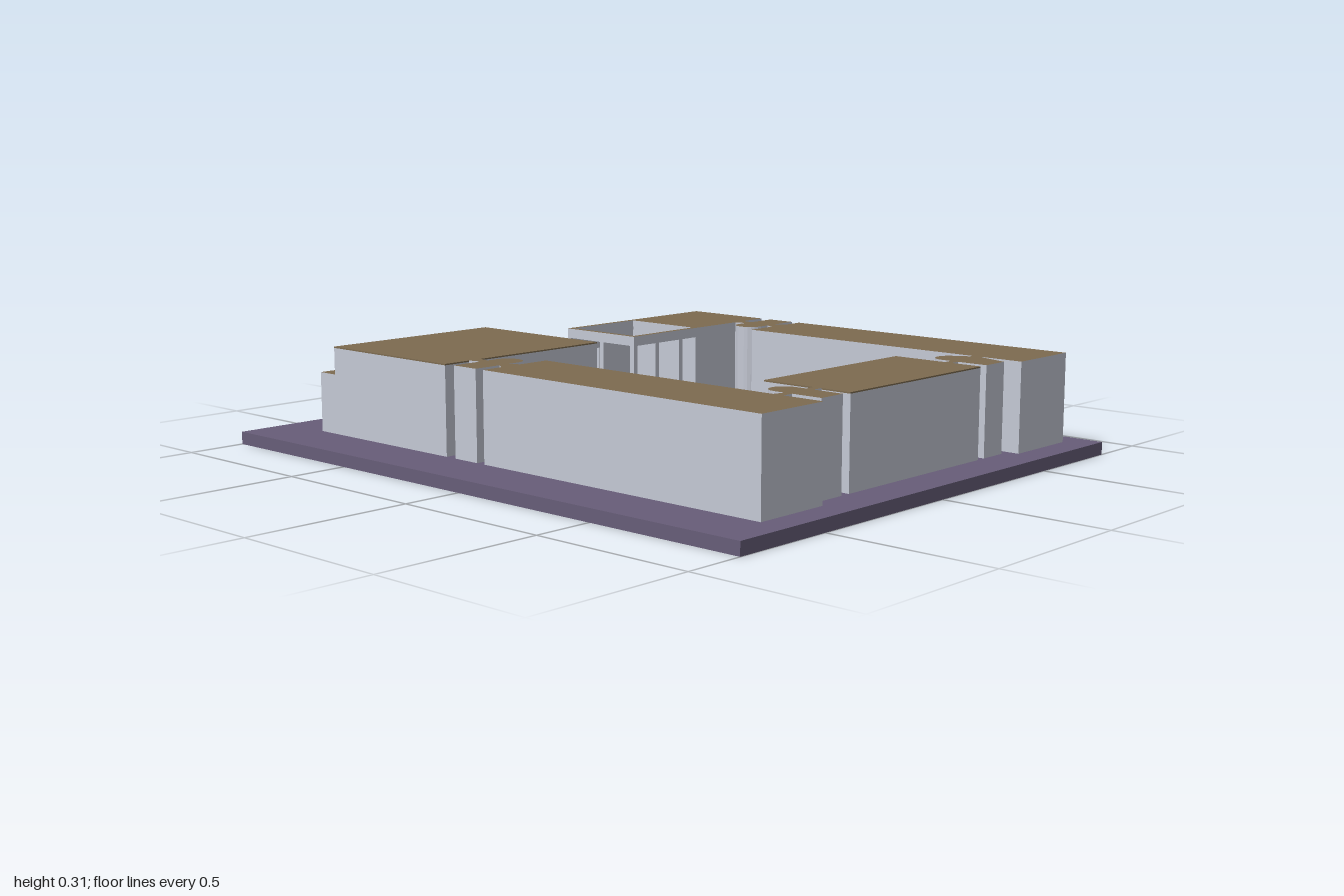
import * as THREE from 'three';

const mat = (name, color) => Object.assign(new THREE.MeshStandardMaterial({ color }), { name });
const GROUND = 0.038, TOP = 0.305, T = 0.014;

export function createModel() {
  const model = new THREE.Group();
  const wallMat = mat('paleWall', 0xc4c8d4);
  const roofMat = mat('brownRoof', 0x7d6b50);
  const baseMat = mat('purpleGround', 0x675d78);
  const greenMat = mat('greenPlants', 0x65804a);

  const add = (name, geometry, material, parent = model) => {
    const m = new THREE.Mesh(geometry, material);
    m.name = name;
    parent.add(m);
    return m;
  };
  const toShape = pts => new THREE.Shape(pts.map(p => new THREE.Vector2(p[0], p[1])));
  const rect = (x0, z0, x1, z1) => [[x0, z0], [x1, z0], [x1, z1], [x0, z1]];

  // upright prism over an (x, z) outline, with separate cap and side colours
  const prism = (name, pts, y0, y1, cap = roofMat, side = wallMat, hole = null, parent = model) => {
    const shape = toShape(pts);
    if (hole) shape.holes.push(new THREE.Path(hole.map(p => new THREE.Vector2(p[0], p[1]))));
    const g = new THREE.ExtrudeGeometry(shape, { depth: y1 - y0, bevelEnabled: false });
    g.rotateX(Math.PI / 2).translate(0, y1, 0);
    return add(name, g, [cap, side], parent);
  };

  // straight wall from a to b with rectangular openings [u0, u1, y0, y1]
  const wall = (name, a, b, openings, parent) => {
    const dx = b[0] - a[0], dz = b[1] - a[1];
    const shape = toShape(rect(0, 0.03, Math.hypot(dx, dz), TOP - 0.004));
    for (const [u0, u1, y0, y1] of openings) {
      shape.holes.push(new THREE.Path(rect(u0, y0, u1, y1).map(p => new THREE.Vector2(...p))));
    }
    const g = new THREE.ExtrudeGeometry(shape, { depth: T, bevelEnabled: false });
    const m = add(name, g, wallMat, parent);
    m.rotation.y = -Math.atan2(dz, dx);
    m.position.set(a[0], 0, a[1]);
  };

  // hollow building: back, left, front and right walls under a thin roof
  const hollow = (name, x0, z0, x1, z1, openings) => {
    const g = new THREE.Group();
    g.name = name;
    model.add(g);
    const c = rect(x0, z0, x1, z1);
    c.forEach((p, i) => wall(name + 'Wall', p, c[(i + 1) % 4], openings[i] || [], g));
    prism(name + 'Roof', c, TOP - 0.004, TOP, roofMat, roofMat, null, g);
  };

  // ground slab with a sunken free-form basin
  const basin = new THREE.CatmullRomCurve3([
    [-0.03, -0.07], [0.06, -0.11], [0.14, -0.125], [0.23, -0.12], [0.28, -0.08],
    [0.31, 0], [0.335, 0.13], [0.27, 0.27], [0.16, 0.37], [0.03, 0.445],
    [-0.08, 0.46], [-0.19, 0.41], [-0.25, 0.31], [-0.245, 0.2], [-0.18, 0.07],
  ].map(p => new THREE.Vector3(p[0], 0, p[1])), true).getPoints(60).slice(0, -1).map(v => [v.x, v.z]);
  prism('groundBottom', rect(-0.82, -1, 0.82, 1), 0, 0.01, baseMat, baseMat);
  prism('ground', rect(-0.82, -1, 0.82, 1), 0.01, GROUND, baseMat, baseMat, basin);

  // planter in the basin
  prism('planterRim', rect(-0.155, 0.235, -0.065, 0.33), 0.01, 0.055, wallMat, wallMat,
    rect(-0.143, 0.247, -0.077, 0.318));
  prism('planterPlants', rect(-0.143, 0.247, -0.077, 0.318), 0.01, 0.05, greenMat, greenMat);

  // long side wings
  prism('rightWing', rect(-0.645, -0.09, -0.405, 0.915), 0.03, TOP);
  prism('leftWing', rect(0.5, -0.09, 0.74, 0.915), 0.03, TOP);

  // front house with doors toward the yard and a side door
  hollow('frontHouse', -0.25, 0.59, 0.345, 0.88, {
    0: [[0.06, 0.19, GROUND, 0.26], [0.215, 0.285, GROUND, 0.26]],
    3: [[0.16, 0.27, GROUND, 0.26]],
  });

  // big back hall with an open corner and a lower rear step
  hollow('backHall', -0.645, -0.76, -0.04, -0.25, {
    1: [[0.4, 0.495, GROUND, 0.15]],
    2: [[0.015, 0.11, GROUND, 0.15]],
  });
  prism('rearStep', rect(-0.645, -0.83, -0.04, -0.76), 0.03, 0.22);

  // garden house: closed room plus an open-roofed court
  prism('gardenRoom', rect(0.41, -0.545, 0.74, -0.25), 0.03, TOP);
  prism('gardenRoomPanel', rect(0.67, -0.25, 0.74, -0.246), GROUND, 0.29, roofMat, roofMat);
  wall('courtBackWall', [0.122, -0.545], [0.41, -0.545], [[0.035, 0.13, 0.12, 0.23]], model);
  prism('courtBeams', rect(0.122, -0.545, 0.412, -0.25), 0.275, TOP, roofMat, wallMat,
    rect(0.138, -0.53, 0.41, -0.265));
  for (const [x, z] of [[0.122, -0.266], [0.22, -0.266], [0.33, -0.266], [0.122, -0.4]]) {
    prism('courtPost', rect(x, z, x + 0.016, z + 0.016), 0.03, 0.276, wallMat);
  }
  prism('courtLawn', rect(0.138, -0.53, 0.41, -0.266), 0.03, 0.044, greenMat, greenMat);

  // round-ended link blocks and their narrow necks
  const arc = (cx, cz, r, a0, a1) => Array.from({ length: 13 }, (_, i) => {
    const a = a0 + (a1 - a0) * i / 12;
    return [cx + r * Math.cos(a), cz + r * Math.sin(a)];
  });
  const link = (name, ...outlines) => outlines.forEach((o, i) =>
    prism(name + (i ? 'Neck' : 'Block'), o, 0.03, TOP));
  const H = Math.PI / 2;

  for (const s of [-1, 1]) {
    const shift = s < 0 ? 0 : 0.095;
    const place = pts => pts.map(([x, z]) => [s * x + shift, z]);
    link(s < 0 ? 'rightBackLink' : 'leftBackLink',
      place([[0.645, -0.12], [0.645, -0.212], ...arc(0.486, -0.166, 0.046, -H, -3 * H)]),
      place([[0.51, -0.25], [0.555, -0.25], [0.545, -0.21], [0.52, -0.21]]),
      place([[0.52, -0.122], [0.555, -0.122], [0.575, -0.09], [0.505, -0.09]]));
  }
  link('rightFrontLink',
    [[-0.282, 0.88], [-0.37, 0.88], ...arc(-0.326, 0.725, 0.044, 2 * H, 4 * H)],
    [[-0.406, 0.75], [-0.369, 0.76], [-0.369, 0.785], [-0.406, 0.785]],
    [[-0.283, 0.76], [-0.25, 0.76], [-0.25, 0.785], [-0.283, 0.785]]);
  link('leftFrontLink',
    [[0.465, 0.88], [0.375, 0.88], ...arc(0.422, 0.73, 0.047, 2 * H, 3.6 * H), [0.498, 0.77]],
    [[0.344, 0.76], [0.376, 0.76], [0.376, 0.785], [0.344, 0.785]],
    [[0.48, 0.75], [0.501, 0.75], [0.501, 0.785], [0.48, 0.785]]);

  return model;
}
